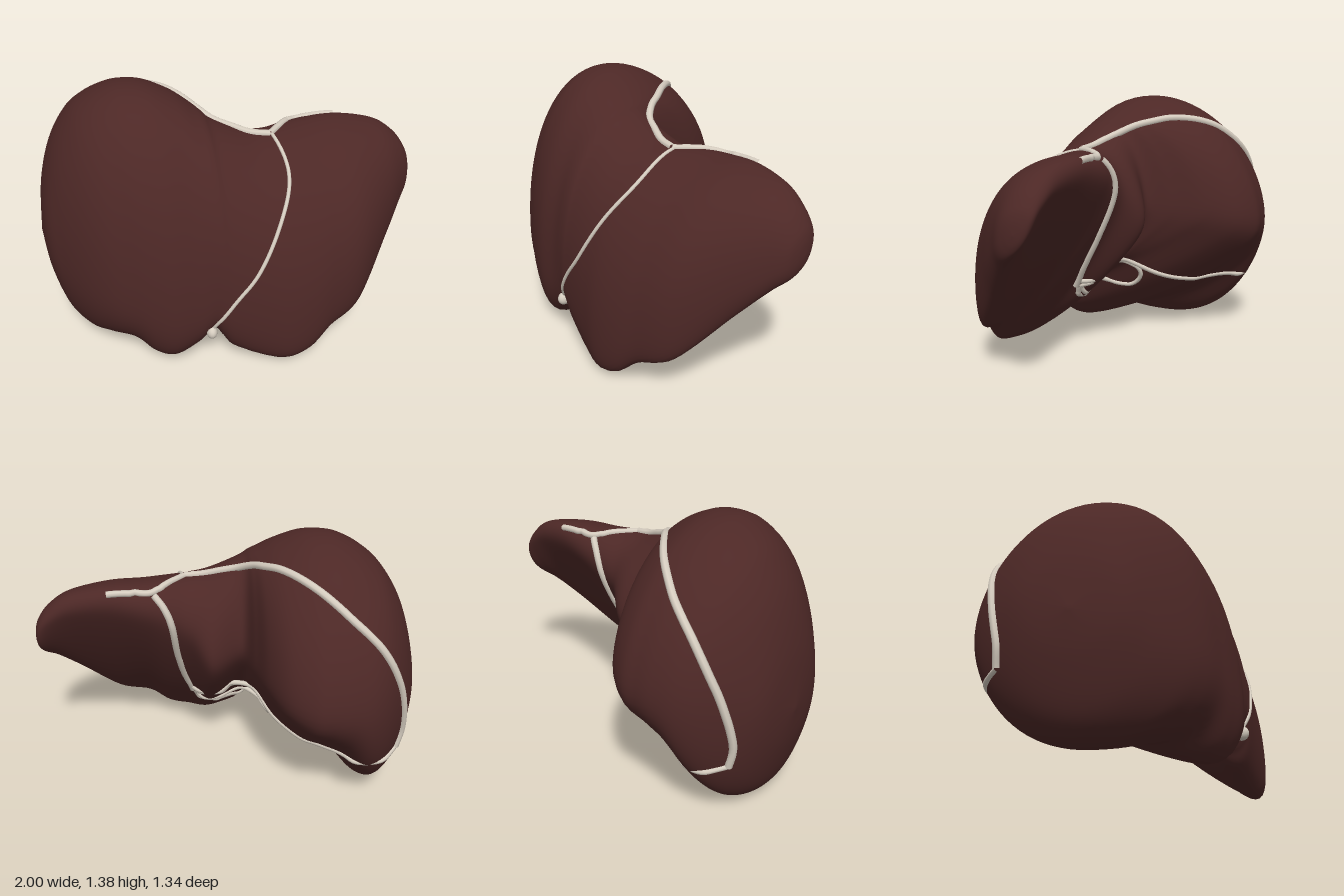
import * as THREE from 'three';
import { mergeVertices } from 'three/addons/utils/BufferGeometryUtils.js';

// Each station along x: x, then (y, z) of its top, front, bottom and back extremes,
// then the fullness of the underside (2 round, 1 straight, below 1 hollow).
const rightLobe = [
  [-1, 0.55, -0.1, 0.55, -0.1, 0.55, -0.1, 0.55, -0.1, 2],
  [-0.97, 0.83, -0.1, 0.55, 0.11, 0.33, -0.1, 0.6, -0.31, 2],
  [-0.9, 1.07, -0.1, 0.5, 0.24, 0.1, -0.08, 0.6, -0.45, 2.05],
  [-0.8, 1.235, -0.08, 0.45, 0.37, 0.0, -0.06, 0.63, -0.57, 2.1],
  [-0.7, 1.32, -0.04, 0.41, 0.46, 0.015, 0.02, 0.64, -0.64, 2],
  [-0.59, 1.37, -0.01, 0.37, 0.52, 0.07, 0.24, 0.63, -0.67, 1.65],
  [-0.5, 1.382, 0, 0.34, 0.56, 0.025, 0.39, 0.62, -0.675, 1.4],
  [-0.4, 1.37, 0.02, 0.3, 0.59, 0.01, 0.44, 0.62, -0.665, 1.25],
  [-0.28, 1.32, 0.05, 0.3, 0.595, 0.095, 0.46, 0.66, -0.58, 1.15],
  [-0.2, 1.27, 0.07, 0.37, 0.605, 0.2, 0.51, 0.71, -0.43, 1.1],
];
const leftLobe = [
  [-0.155, 1.242, 0.085, 0.36, 0.615, 0.15, 0.52, 0.73, -0.25, 1.1],
  [-0.1, 1.2, 0.1, 0.32, 0.625, 0.075, 0.53, 0.74, -0.105, 1.12],
  [0.06, 1.125, 0.12, 0.25, 0.655, 0.005, 0.59, 0.7, -0.16, 1.22],
  [0.18, 1.105, 0.1, 0.2, 0.675, -0.005, 0.63, 0.86, -0.09, 1.25],
  [0.3, 1.105, 0.05, 0.23, 0.665, 0.03, 0.62, 0.95, -0.085, 1.25],
  [0.42, 1.105, 0.01, 0.31, 0.63, 0.13, 0.585, 0.99, -0.085, 1.2],
  [0.6, 1.105, -0.01, 0.42, 0.555, 0.21, 0.51, 1.02, -0.065, 1.15],
  [0.8, 1.065, 0.02, 0.6, 0.375, 0.47, 0.315, 0.99, -0.035, 1.15],
  [0.91, 0.995, 0.05, 0.69, 0.26, 0.61, 0.21, 0.93, -0.015, 1.3],
  [0.97, 0.92, 0.06, 0.74, 0.195, 0.675, 0.15, 0.87, 0.005, 1.6],
  [0.993, 0.86, 0.075, 0.77, 0.14, 0.73, 0.11, 0.82, 0.04, 1.8],
  [1, 0.79, 0.09, 0.79, 0.09, 0.79, 0.09, 0.79, 0.09, 2],
];
const stations = [...rightLobe, ...leftLobe];
const STEPS = 8, QUARTER = 20, RING = 88;

// Smooth interpolation of every station value
function stationAt(t) {
  const last = stations.length - 1;
  const i = Math.min(Math.floor(t), last - 1), f = t - i;
  const row = k => stations[Math.min(Math.max(k, 0), last)];
  const [a, b, c, d] = [row(i - 1), row(i), row(i + 1), row(i + 2)];
  return b.map((p, k) => {
    const m0 = (c[k] - a[k]) / 2, m1 = (d[k] - p) / 2;
    return p + f * (m0 + f * (3 * (c[k] - p) - 2 * m0 - m1 + f * (2 * (p - c[k]) + m0 + m1)));
  });
}

// Cross-section of four superellipse quarters: top > front > bottom > back > top
function ringAt(t) {
  const [x, ty, tz, fy, fz, by, bz, ky, kz, p] = stationAt(t);
  const corners = [[ty, tz], [fy, fz], [by, bz], [ky, kz]];
  const outline = [];
  corners.forEach(([y0, z0], q) => {
    const [y1, z1] = corners[(q + 1) % 4];
    const e = 2 / [2.15, 2.05, p, 1.87][q];
    for (let k = 0; k < QUARTER; k++) {
      const a = (k / QUARTER) * Math.PI / 2;
      const c = 1 - Math.cos(a) ** e, s = Math.sin(a) ** e;
      const [u, v] = q % 2 ? [s, c] : [c, s];
      outline.push(new THREE.Vector3(x, y0 + (y1 - y0) * u, z0 + (z1 - z0) * v));
    }
  });
  // even spacing, then round the margins
  let ring = new THREE.CatmullRomCurve3(outline, true).getSpacedPoints(RING).slice(0, RING);
  for (let pass = 0; pass < 4; pass++) {
    ring = ring.map((v, i) => v.clone().multiplyScalar(0.5)
      .addScaledVector(ring[(i + 1) % RING], 0.25)
      .addScaledVector(ring[(i + RING - 1) % RING], 0.25));
  }
  return ring;
}

function bodyGeometry() {
  const points = [], index = [];
  const rows = (stations.length - 1) * STEPS;
  for (let i = 0; i <= rows; i++) points.push(...ringAt(i / STEPS));
  for (let i = 0; i < rows; i++) {
    for (let j = 0; j < RING; j++) {
      const a = i * RING + j, c = i * RING + (j + 1) % RING;
      index.push(a, c, a + RING, c, c + RING, a + RING);
    }
  }
  const loft = new THREE.BufferGeometry().setFromPoints(points);
  loft.setIndex(index);
  const geo = mergeVertices(loft, 1e-5);
  geo.computeVertexNormals();
  return geo;
}

export function createModel() {
  const group = new THREE.Group();
  const flesh = new THREE.MeshStandardMaterial({ color: 0x4d2826 });
  const pale = new THREE.MeshStandardMaterial({ color: 0xd6cdc0 });
  const add = (name, geo, mat) => {
    const mesh = new THREE.Mesh(geo, mat);
    mesh.name = name;
    group.add(mesh);
    return mesh;
  };

  // Both lobes as one lofted body
  const body = bodyGeometry();
  add('lobes', body, flesh);

  // Drop a point onto the tangent plane of the nearest skin vertex
  const { position, normal } = body.attributes;
  const v = new THREE.Vector3(), n = new THREE.Vector3();
  const drop = p => {
    let best = 0, min = Infinity;
    for (let i = 0; i < position.count; i++) {
      const d = v.fromBufferAttribute(position, i).distanceToSquared(p);
      if (d < min) [best, min] = [i, d];
    }
    v.fromBufferAttribute(position, best).sub(p);
    n.fromBufferAttribute(normal, best);
    return p.clone().addScaledVector(n, v.dot(n));
  };
  // Cords laid on the body
  const cord = (name, radius, path, closed = false) => {
    const rough = new THREE.CatmullRomCurve3(path.map(p => new THREE.Vector3(...p)), closed);
    const pts = rough.getSpacedPoints(20).map(p => drop(drop(p)));
    if (closed) pts.pop();
    const curve = new THREE.CatmullRomCurve3(pts, closed);
    add(name, new THREE.TubeGeometry(curve, 80, radius, 8, closed), pale);
  };

  cord('frontLigament', 0.01, [[0.2, 1.1, 0.15], [0.215, 0.98, 0.4], [0.13, 0.8, 0.53],
    [0, 0.57, 0.61], [-0.1, 0.44, 0.61], [-0.19, 0.3, 0.6], [-0.22, 0.23, 0.56]]);
  cord('rightUpperLigament', 0.02, [[0.19, 1.11, 0.15], [0.05, 1.13, 0.12], [-0.1, 1.21, 0.02],
    [-0.2, 1.26, -0.12], [-0.3, 1.28, -0.26], [-0.45, 1.21, -0.4], [-0.6, 1.1, -0.51],
    [-0.79, 0.93, -0.57], [-0.87, 0.7, -0.51], [-0.9, 0.45, -0.45], [-0.88, 0.35, -0.45]]);
  cord('leftUpperLigament', 0.018, [[0.19, 1.11, 0.15], [0.28, 1.11, 0.05], [0.37, 1.11, -0.05],
    [0.48, 1.11, -0.05], [0.6, 1.1, -0.05]]);
  cord('backFissure', 0.019, [[0.35, 1.1, -0.06], [0.28, 0.95, -0.09], [0.24, 0.65, 0.02],
    [0.2, 0.47, 0.13], [0.14, 0.37, 0.22]]);
  cord('undersideLigament', 0.014, [[0.14, 0.4, 0.2], [0, 0.42, 0.12], [-0.15, 0.41, 0.02],
    [-0.35, 0.33, -0.2], [-0.55, 0.36, -0.36], [-0.75, 0.34, -0.48], [-0.88, 0.35, -0.45]]);
  cord('undersideLoop', 0.013, [[0.1, 0.38, 0.21], [-0.06, 0.42, 0.11], [-0.25, 0.37, -0.02],
    [-0.27, 0.28, 0.04], [-0.1, 0.28, 0.2]], true);
  cord('roundCord', 0.015, [[0.12, 0.38, 0.21], [0, 0.31, 0.31], [-0.13, 0.26, 0.42], [-0.22, 0.23, 0.56]]);

  // Rounded end of the cord in the lower notch
  const knob = add('cordEnd', new THREE.SphereGeometry(0.028, 16, 12), pale);
  knob.position.set(-0.22, 0.23, 0.57);
  knob.scale.set(1, 1.3, 1.3);
  return group;
}
